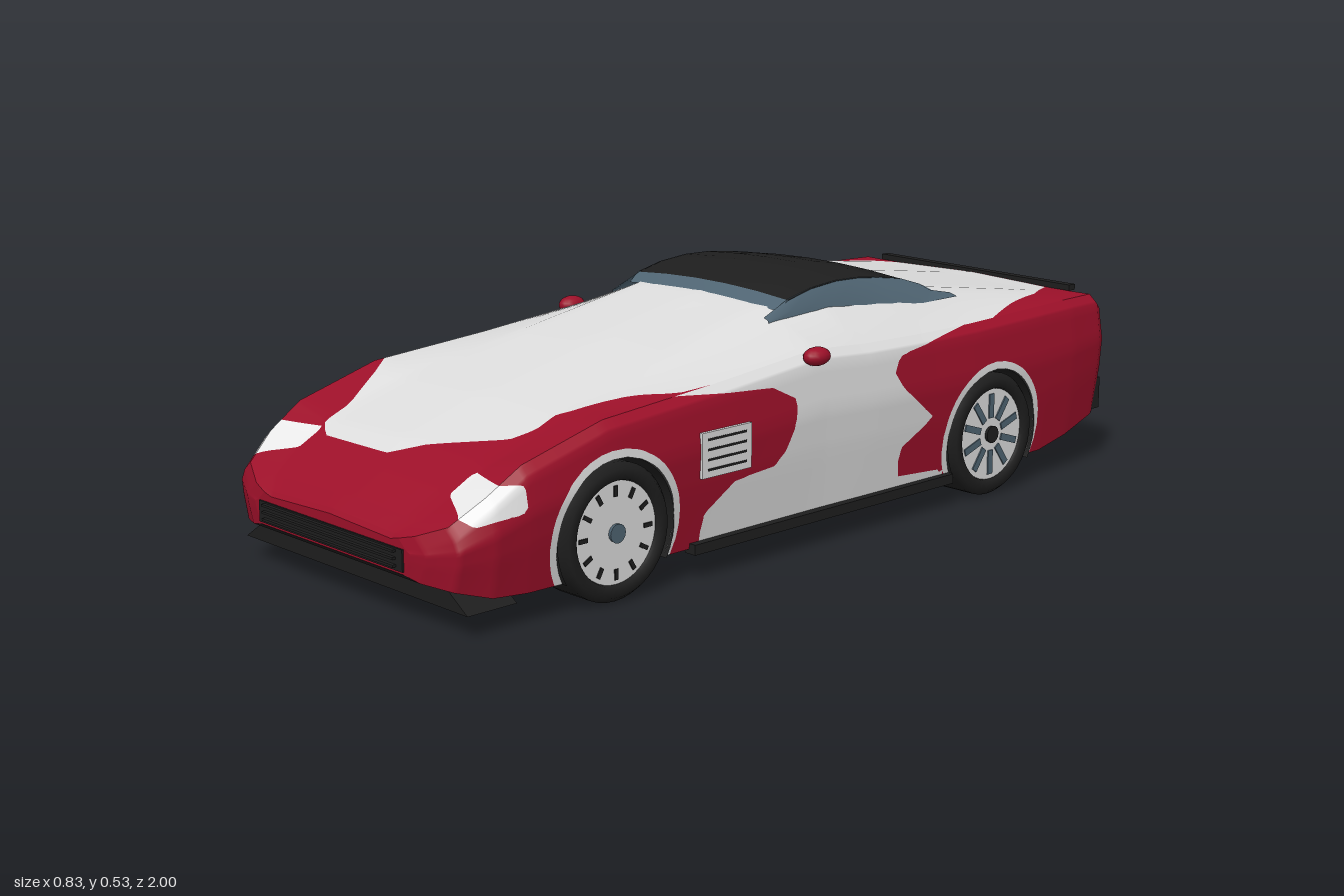
import * as THREE from 'three';

const mat = (name, color, side = THREE.FrontSide) => {
  const m = new THREE.MeshStandardMaterial({ color, side });
  m.name = name;
  return m;
};

// Body stations: z, half width, bottom y, shoulder y, half width of the top, top y
const STATIONS = [
  [-0.985, 0.378, 0.13, 0.395, 0.28, 0.405], [-0.96, 0.39, 0.12, 0.41, 0.28, 0.417],
  [-0.85, 0.4, 0.09, 0.412, 0.27, 0.43], [-0.75, 0.402, 0.07, 0.41, 0.26, 0.445],
  [-0.5, 0.405, 0.065, 0.405, 0.24, 0.48], [-0.35, 0.403, 0.065, 0.405, 0.23, 0.5],
  [-0.15, 0.402, 0.065, 0.41, 0.215, 0.51], [0, 0.4, 0.065, 0.42, 0.2, 0.49],
  [0.3, 0.402, 0.065, 0.392, 0.22, 0.43], [0.6, 0.405, 0.065, 0.37, 0.25, 0.362],
  [0.8, 0.4, 0.065, 0.315, 0.26, 0.302], [0.88, 0.392, 0.07, 0.265, 0.25, 0.26],
  [0.95, 0.365, 0.09, 0.215, 0.23, 0.215], [0.98, 0.3, 0.1, 0.19, 0.2, 0.192], [0.988, 0.26, 0.11, 0.18, 0.2, 0.182],
];
// Paint outlines: white on the flanks (z, y) and white on the upper surface (x, z)
const SIDE_WHITE = [[0.36, 0], [0.35, 0.13], [0.26, 0.19], [0.13, 0.2], [0.09, 0.27], [0.08, 0.33], [0.15, 0.365],
  [0.3, 0.376], [0.6, 0.4], [0.6, 0.6], [-0.6, 0.6], [-0.6, 0.42], [-0.4, 0.395], [-0.25, 0.375], [-0.22, 0.345],
  [-0.25, 0.3], [-0.35, 0.22], [-0.24, 0.16], [-0.25, 0.1], [-0.4, 0.09], [-0.4, 0]];
const TOP_WHITE = [[-0.5, 0.52], [-0.39, 0.55], [-0.34, 0.61], [-0.27, 0.74], [-0.26, 0.81], [-0.22, 0.84], [0, 0.845],
  [0.1, 0.78], [0.22, 0.71], [0.24, 0.66], [0.23, 0.6], [0.3, 0.46], [0.36, 0.39], [0.38, 0.15], [0.5, 0.1],
  [0.5, -0.48], [0.38, -0.55], [0.33, -0.7], [0.3, -0.82], [0.23, -0.95], [-0.24, -0.95], [-0.32, -0.86],
  [-0.34, -0.72], [-0.39, -0.6], [-0.5, -0.57]];
const WHEEL_Z = [0.585, -0.56], WHEEL_Y = 0.143;

// Signed distance to a polygon, positive inside
function inside(poly, x, y) {
  let d = Infinity, within = false;
  poly.forEach(([ax, ay], i) => {
    const [bx, by] = poly[(i + 1) % poly.length], ex = bx - ax, ey = by - ay;
    const t = THREE.MathUtils.clamp(((x - ax) * ex + (y - ay) * ey) / (ex * ex + ey * ey), 0, 1);
    d = Math.min(d, Math.hypot(x - ax - t * ex, y - ay - t * ey));
    if ((ay > y) !== (by > y) && x < ax + ((y - ay) / ey) * ex) within = !within;
  });
  return within ? d : -d;
}

// Cuts triangles along f = 0; vertices are [x, y, z, nx, ny, nz]
function split(tris, f) {
  const yes = [], no = [];
  for (const tri of tris) {
    const d = tri.map(f), pos = [], neg = [];
    tri.forEach((v, i) => {
      const k = (i + 1) % 3;
      (d[i] >= 0 ? pos : neg).push(v);
      if ((d[i] >= 0) !== (d[k] >= 0)) {
        const t = d[i] / (d[i] - d[k]), m = v.map((a, c) => a + (tri[k][c] - a) * t);
        pos.push(m); neg.push(m);
      }
    });
    for (const [p, out] of [[pos, yes], [neg, no]])
      for (let i = 2; i < p.length; i++) out.push([p[0], p[i - 1], p[i]]);
  }
  return [yes, no];
}

function fromTris(tris) {
  const p = [], n = [];
  tris.flat().forEach(v => { p.push(...v.slice(0, 3)); n.push(...v.slice(3)); });
  const g = new THREE.BufferGeometry();
  g.setAttribute('position', new THREE.Float32BufferAttribute(p, 3));
  g.setAttribute('normal', new THREE.Float32BufferAttribute(n, 3));
  return g;
}

// Surface through rows of points
function loft(rows) {
  const w = rows[0].length, idx = [];
  for (let i = 0; i < rows.length - 1; i++) for (let j = 0; j < w - 1; j++) {
    const a = i * w + j, c = a + w;
    idx.push(a, a + 1, c, a + 1, c + 1, c);
  }
  const g = new THREE.BufferGeometry();
  g.setAttribute('position', new THREE.Float32BufferAttribute(rows.flat(2), 3));
  g.setIndex(idx);
  g.computeVertexNormals();
  return g;
}

function toTris(g) {
  const q = g.toNonIndexed(), p = q.attributes.position.array, n = q.attributes.normal.array, out = [];
  for (let i = 0; i < p.length; i += 9)
    out.push([0, 3, 6].map(k => [...p.slice(i + k, i + k + 3), ...n.slice(i + k, i + k + 3)]));
  return out;
}

const subdivide = (pts, n) => pts.slice(1).reduce((out, b, i) => {
  for (let k = 1; k <= n; k++) out.push(b.map((v, c) => pts[i][c] + (v - pts[i][c]) * k / n));
  return out;
}, [pts[0]]);

export function createModel() {
  const car = new THREE.Group();
  car.name = 'sportsCar';
  const red = mat('red paint', 0x9c1029), white = mat('white paint', 0xdcdcdc, THREE.DoubleSide);
  const black = mat('black trim', 0x1e1e1e, THREE.DoubleSide), glass = mat('window glass', 0x4f6472, THREE.DoubleSide);
  const lamp = mat('headlight', 0xf4f4f4), tail = mat('tail light', 0xc8202a);
  const add = (name, geo, m, x = 0, y = 0, z = 0, parent = car) => {
    const mesh = new THREE.Mesh(geo, m);
    mesh.name = name;
    mesh.position.set(x, y, z);
    parent.add(mesh);
    return mesh;
  };
  const box = (name, m, sx, sy, sz, x, y, z, parent) => add(name, new THREE.BoxGeometry(sx, sy, sz), m, x, y, z, parent);

  // Body shell: flanks, upper surface and floor lofted through the stations
  const stations = subdivide(STATIONS, 8);
  const flank = ([z, w, yb, ys], s) => [[w - 0.02, yb], [w - 0.005, yb + 0.4 * (ys - yb)], [w, yb + 0.65 * (ys - yb)],
    [w - 0.012, ys - 0.02], [w - 0.035, ys]].map(([x, y]) => [s * x, y, z]);
  const left = s => subdivide(flank(s, 1), 4), right = s => subdivide(flank(s, -1).reverse(), 4);
  const top = ([z, w, , ys, wt, yt]) => subdivide([[w - 0.035, ys, z], [wt, yt - 0.008, z], [0, yt, z],
    [-wt, yt - 0.008, z], [0.035 - w, ys, z]], 6);
  const floor = ([z, w, yb]) => subdivide([[0.02 - w, yb, z], [w - 0.02, yb, z]], 16);
  let sides = [left, right].flatMap(f => toTris(loft(stations.map(f))));
  const wheelDistance = r => v => Math.max(...WHEEL_Z.map(z => r - Math.hypot(v[2] - z, v[1] - WHEEL_Y)));
  sides = split(sides, wheelDistance(0.153))[1];
  const [arches, panels] = split(sides, wheelDistance(0.17));
  const [sideWhite, sideRed] = split(panels, v => inside(SIDE_WHITE, v[2], v[1]));
  const [topWhite, topRed] = split(toTris(loft(stations.map(top))), v => inside(TOP_WHITE, v[0], v[2]));
  const LAMP = [[0.25, 0.25], [0.25, 0.283], [0.4, 0.283], [0.4, 0.23], [0.37, 0.215], [0.32, 0.235]];
  const [lamps, redPaint] = split([...sideRed, ...topRed],
    v => Math.min(inside(LAMP, Math.abs(v[0]), v[1]), v[2] - 0.81));
  add('wheelArchTrim', fromTris(arches), white);
  add('whiteBodywork', fromTris([...sideWhite, ...topWhite]), white);
  add('redBodywork', fromTris(redPaint), red);
  add('headlights', fromTris(lamps), lamp);
  const well = v => Math.max(...WHEEL_Z.map(z => Math.min(Math.abs(v[0]) - 0.265, 0.132 - Math.abs(v[2] - z))));
  add('floor', fromTris(split(toTris(loft(stations.map(floor))), well)[1]), black);

  // End caps
  [[stations[0], -1], [stations.at(-1), 1]].forEach(([s, dir]) => {
    const ring = [...left(s), ...top(s), ...right(s)], centre = [0, s[2], s[0]], n = [0, 0, dir];
    const tris = ring.slice(1).map((b, i) => (dir > 0 ? [centre, ring[i], b] : [centre, b, ring[i]]).map(p => [...p, ...n]));
    add(dir > 0 ? 'noseCap' : 'tailCap', fromTris(tris), red);
  });

  // Cabin: black roof, side windows, windscreen
  const arc = [[-0.55, 0.462], [-0.48, 0.492], [-0.41, 0.514], [-0.34, 0.525], [-0.27, 0.533], [-0.2, 0.535],
    [-0.12, 0.528], [-0.05, 0.512], [0.02, 0.482]];
  const roofRow = ([z, y], w = 0.24) => [1, 0.6, 0.2, -0.2, -0.6, -1].map(u => [u * w, y - 0.012 * u * u, z]);
  add('roof', loft([roofRow([-0.415, 0.485]), ...arc.slice(2, 8).map(a => roofRow(a))]), black);
  add('windscreen', loft([roofRow(arc[7]), roofRow([-0.02, 0.492], 0.235)]), glass);
  for (const s of [1, -1]) {
    add('sideWindow', loft(arc.map(([z, y]) => {
      const base = 0.25 + 0.04 * Math.min(1, (0.02 - z) / 0.4);
      return [[s * base, 0.45, z], [s * (base + 0.235) / 2 + s * 0.006, (y + 0.45) / 2, z], [s * 0.235, y - 0.011, z]];
    })), glass);

    // Mirrors, sills and side vents
    add('mirror', new THREE.SphereGeometry(1, 16, 10), red, s * 0.392, 0.412, -0.015 + 0.035).scale.set(0.025, 0.02, 0.034);
    box('mirrorStalk', black, 0.03, 0.012, 0.02, s * 0.375, 0.398, 0.02);
    box('sill', black, 0.03, 0.022, 0.8, s * 0.386, 0.066, -0.02);
    box('vent', white, 0.008, 0.095, 0.14, s * 0.402, 0.26, 0.295);
    for (let i = 0; i < 4; i++) box('ventSlot', black, 0.004, 0.005, 0.11, s * 0.405, 0.229 + i * 0.021, 0.295);

    // Tail lights
    for (const x of [0.23, 0.335]) {
      const disc = (r, m, z) => add('tailLight', new THREE.CylinderGeometry(r, r, 0.008, 20).rotateX(Math.PI / 2), m, s * x, 0.305, z);
      disc(0.032, tail, -0.991); disc(0.02, black, -0.993); disc(0.014, tail, -0.995);
    }

    // Wheels and wheel wells
    WHEEL_Z.forEach((z, k) => {
      const wheel = new THREE.Group();
      wheel.name = k ? 'rearWheel' : 'frontWheel';
      wheel.position.set(s * 0.34, WHEEL_Y, z);
      wheel.rotation.y = s > 0 ? 0 : Math.PI;
      car.add(wheel);
      const tyre = [[0.1, -0.055], [0.13, -0.06], [0.142, -0.045], [0.142, 0.045], [0.13, 0.06], [0.108, 0.058], [0.104, 0.045]];
      add('tyre', new THREE.LatheGeometry(tyre.map(p => new THREE.Vector2(...p)), 40).rotateZ(-Math.PI / 2), black, 0, 0, 0, wheel);
      add('rim', new THREE.CylinderGeometry(0.107, 0.107, 0.1, 32).rotateZ(Math.PI / 2), white, 0, 0, 0, wheel);
      const count = k ? 10 : 12;
      for (let i = 0; i < count; i++) {
        const a = i / count * Math.PI * 2, r = k ? 0.066 : 0.085;
        const slot = box('rimSlot', k ? glass : black, 0.006, k ? 0.056 : 0.022, k ? 0.016 : 0.009, 0.05, Math.cos(a) * r, Math.sin(a) * r, wheel);
        slot.rotation.x = a;
      }
      add('hub', new THREE.CylinderGeometry(0.018, 0.02, 0.012, 16).rotateZ(Math.PI / 2), k ? black : glass, 0.052, 0, 0, wheel);
      const liner = new THREE.CylinderGeometry(0.153, 0.153, 0.13, 28, 1, true, -0.54, Math.PI + 1.08).rotateZ(Math.PI / 2);
      add('wheelWell', liner, black, s * 0.33, WHEEL_Y, z);
      add('wellWall', new THREE.CircleGeometry(0.153, 28, -0.54, Math.PI + 1.08).rotateY(Math.PI / 2), black, s * 0.265, WHEEL_Y, z);
    });
  }

  // Front grille and air dam
  box('grille', black, 0.48, 0.045, 0.06, 0, 0.138, 0.962);
  for (const y of [0.125, 0.14, 0.155]) box('grilleBar', black, 0.44, 0.005, 0.02, 0, y, 0.99);
  const dam = new THREE.Shape([[-0.37, 0.047], [0.37, 0.047], [0.29, 0.1], [-0.29, 0.1]].map(p => new THREE.Vector2(...p)));
  add('airDam', new THREE.ExtrudeGeometry(dam, { depth: 0.12, bevelEnabled: false }), black, 0, 0, 0.82);

  // Tail panel, plate frame, bumper, exhausts and spoiler
  box('tailPanel', white, 0.62, 0.085, 0.006, 0, 0.3, -0.987);
  box('plateFrame', black, 0.18, 0.062, 0.006, 0, 0.3, -0.99);
  box('plate', white, 0.165, 0.048, 0.006, 0, 0.3, -0.992);
  box('rearBumper', black, 0.74, 0.075, 0.05, 0, 0.168, -0.967);
  for (let i = -2; i <= 2; i++) {
    add('exhaust', new THREE.CylinderGeometry(0.018, 0.018, 0.06, 16).rotateX(Math.PI / 2), white, i * 0.07, 0.155, -0.969);
    add('exhaustBore', new THREE.CylinderGeometry(0.011, 0.011, 0.006, 12).rotateX(Math.PI / 2), black, i * 0.07, 0.155, -0.998);
    if (i < 2) box('exhaustFin', black, 0.008, 0.07, 0.03, i * 0.07 + 0.035, 0.15, -0.983);
  }
  box('spoiler', black, 0.6, 0.014, 0.022, 0, 0.418, -0.963);
  return car;
}
